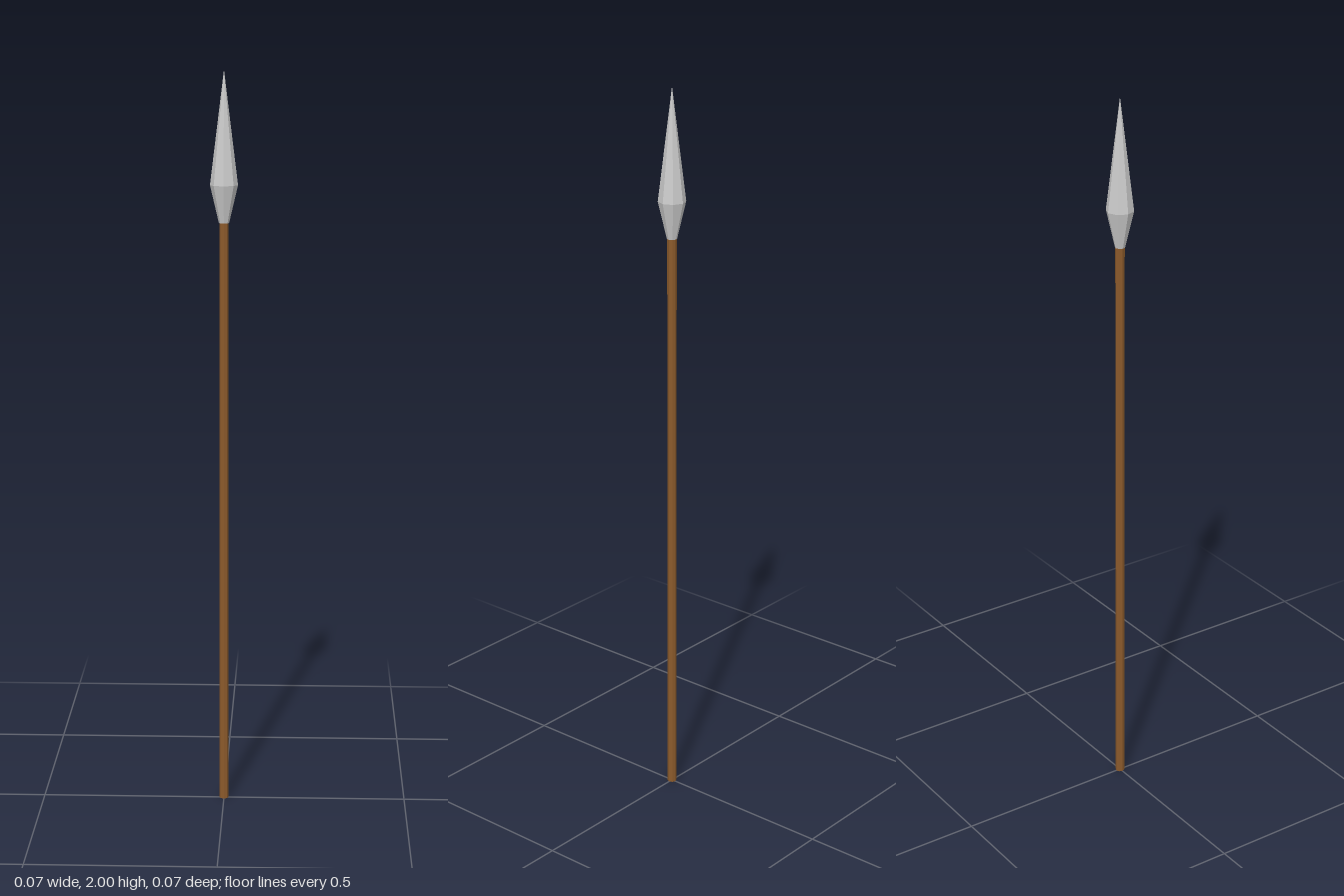
import * as THREE from 'three';

const SIDES = 8;

// Faceted solid of revolution from [radius, height] pairs, bottom to top
function turned(name, profile, color) {
  const points = profile.map(([r, y]) => new THREE.Vector2(r, y));
  const material = new THREE.MeshStandardMaterial({ color, flatShading: true });
  const mesh = new THREE.Mesh(new THREE.LatheGeometry(points, SIDES), material);
  mesh.name = name;
  return mesh;
}

export function createModel() {
  const spear = new THREE.Group();
  spear.name = 'spear';

  // Long wooden pole, closed at both ends
  spear.add(turned('shaft', [[0, 0], [0.0125, 0], [0.0125, 1.605], [0, 1.605]], 0x8b5a2b));

  // Metal point: short flare from the socket, then a long taper to the tip
  spear.add(turned('spearhead', [[0, 1.6], [0.0135, 1.6], [0.037, 1.7], [0, 2]], 0xcccccc));

  return spear;
}
